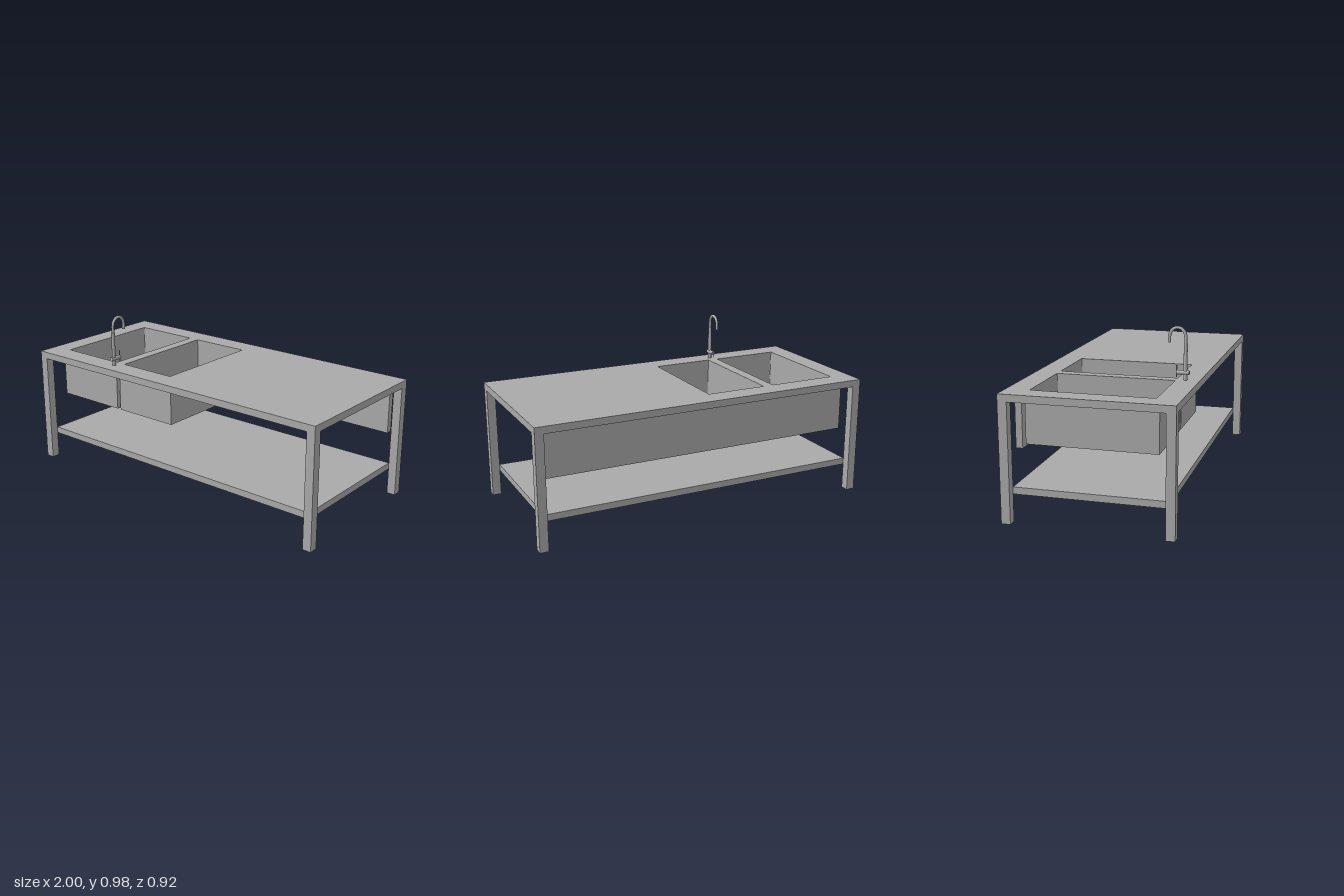
import * as THREE from 'three';

export function createModel() {
  const model = new THREE.Group();
  model.name = 'sinkTable';
  const steel = new THREE.MeshStandardMaterial({ color: 0xa9a9a9 });
  steel.name = 'grey steel';

  function add(name, geometry, parent = model) {
    const mesh = new THREE.Mesh(geometry, steel);
    mesh.name = name;
    parent.add(mesh);
    return mesh;
  }

  // Box given by its limits on each axis
  function block(name, x0, x1, y0, y1, z0, z1) {
    add(name, new THREE.BoxGeometry(x1 - x0, y1 - y0, z1 - z0))
      .position.set((x0 + x1) / 2, (y0 + y1) / 2, (z0 + z1) / 2);
  }

  // Rectangle with small round corners, drawn on x and -z
  function outline(path, x0, x1, z0, z1, r) {
    const b = -z1, t = -z0;
    if (r === 0) {
      path.moveTo(x0, b).lineTo(x1, b).lineTo(x1, t).lineTo(x0, t).closePath();
      return path;
    }
    path.moveTo(x0 + r, b);
    path.lineTo(x1 - r, b).quadraticCurveTo(x1, b, x1, b + r);
    path.lineTo(x1, t - r).quadraticCurveTo(x1, t, x1 - r, t);
    path.lineTo(x0 + r, t).quadraticCurveTo(x0, t, x0, t - r);
    path.lineTo(x0, b + r).quadraticCurveTo(x0, b, x0 + r, b);
    return path;
  }

  // Flat outline extruded upward between two heights
  function slab(name, shape, y0, y1) {
    const geometry = new THREE.ExtrudeGeometry(shape, { depth: y1 - y0, bevelEnabled: false, curveSegments: 4 });
    add(name, geometry.rotateX(-Math.PI / 2).translate(0, y0, 0));
  }

  const basins = [
    { name: 'rightBasin', outer: [-0.905, -0.46], inner: [-0.88, -0.477] },
    { name: 'leftBasin', outer: [-0.435, -0.035], inner: [-0.415, -0.058] },
  ];
  const opening = (b) => outline(new THREE.Path(), b.inner[0], b.inner[1], -0.332, 0.332, 0.006);

  // Worktop with two openings
  const top = outline(new THREE.Shape(), -1, 1, -0.46, 0.46, 0);
  basins.forEach((b) => top.holes.push(opening(b)));
  slab('worktop', top, 0.65, 0.69);

  // Hollow basins and their floors
  for (const b of basins) {
    const walls = outline(new THREE.Shape(), b.outer[0], b.outer[1], -0.35, 0.355, 0);
    walls.holes.push(opening(b));
    slab(b.name + 'Walls', walls, 0.425, 0.65);
    block(b.name + 'Floor', b.outer[0], b.outer[1], 0.41, 0.425, -0.35, 0.355);
  }

  // Legs, lower shelf and back panel
  for (const x of [-0.975, 0.975]) {
    for (const z of [-0.435, 0.435]) {
      block('leg', x - 0.025, x + 0.025, 0, 0.65, z - 0.025, z + 0.025);
    }
  }
  block('shelf', -0.95, 0.95, 0.15, 0.188, -0.41, 0.41);
  block('backPanel', -0.905, 0.95, 0.385, 0.65, -0.405, -0.368);

  // Tap
  const tap = new THREE.Group();
  tap.name = 'tap';
  tap.position.set(-0.45, 0.69, 0.381);
  model.add(tap);
  add('tapPost', new THREE.CylinderGeometry(0.0105, 0.0105, 0.195, 24), tap).position.y = 0.0975;
  const valve = add('tapValve', new THREE.CylinderGeometry(0.012, 0.012, 0.07, 24), tap);
  valve.rotation.x = Math.PI / 2;
  valve.position.set(0, 0.04, -0.014);
  add('tapLever', new THREE.CylinderGeometry(0.003, 0.003, 0.065, 12), tap).position.set(0, 0.046, -0.048);

  // Gooseneck spout arching toward the basins
  const points = [[0.19, 0], [0.215, 0]];
  for (let i = 0; i <= 8; i++) {
    const a = (i / 8) * Math.PI;
    points.push([0.23 + 0.05 * Math.sin(a), -0.044 + 0.044 * Math.cos(a)]);
  }
  points.push([0.215, -0.088], [0.2, -0.088]);
  const curve = new THREE.CatmullRomCurve3(points.map(([y, z]) => new THREE.Vector3(0, y, z)));
  add('tapSpout', new THREE.TubeGeometry(curve, 48, 0.0085, 16), tap);
  const tip = add('tapSpoutEnd', new THREE.CircleGeometry(0.0085, 16), tap);
  tip.rotation.x = Math.PI / 2;
  tip.position.set(0, 0.2, -0.088);

  return model;
}
